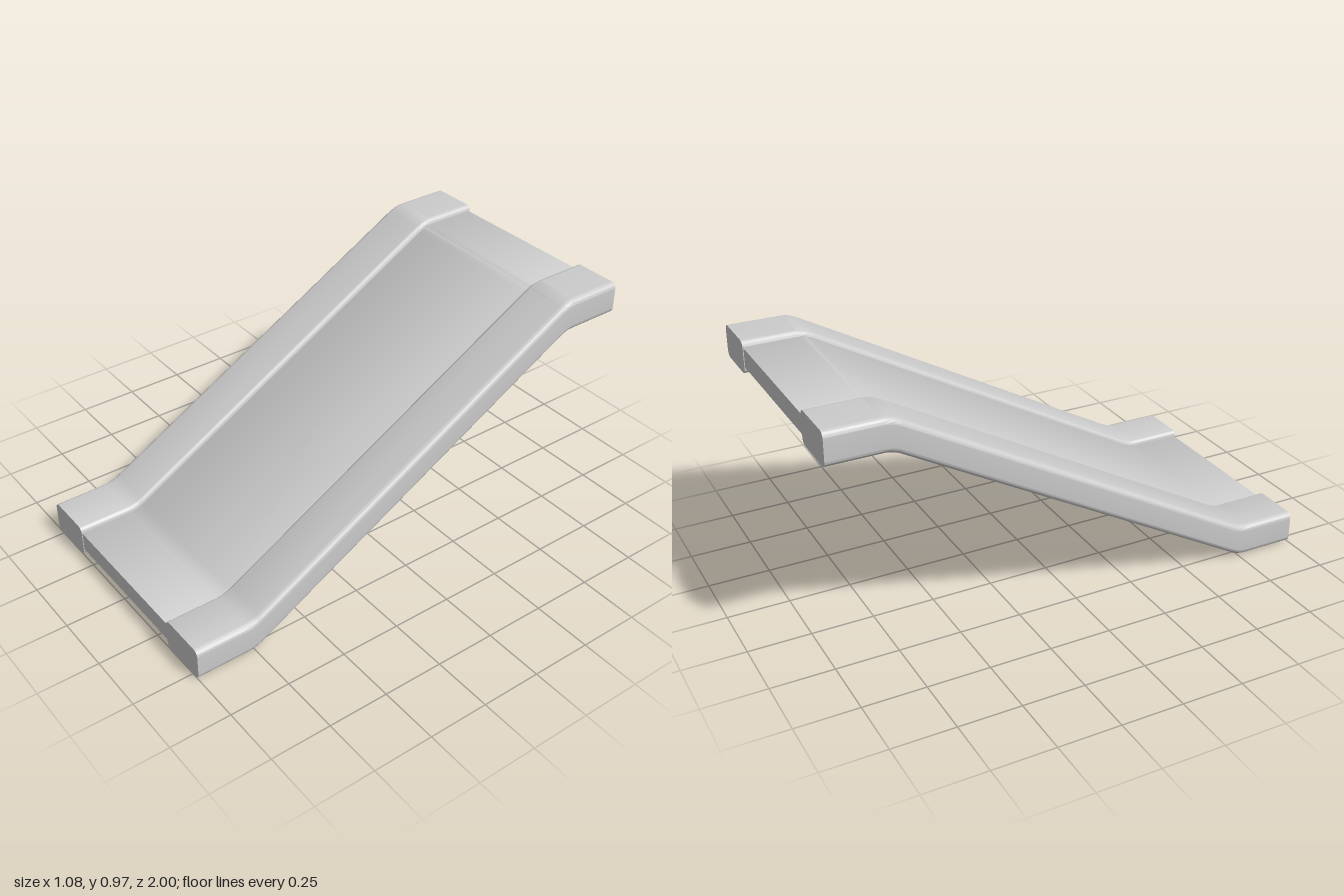
import * as THREE from 'three';
import { toCreasedNormals } from 'three/addons/utils/BufferGeometryUtils.js';

const RISE = 0.835, BEND = 0.75, HALF = 0.035;

// Height of the ramp path at z: flat, soft bend, slope, soft bend, flat
function rise(z) {
  if (z < 0) return RISE - rise(-z);
  const d = BEND - z;
  const slope = RISE / (2 * BEND);
  if (d <= -HALF) return 0;
  if (d >= HALF) return slope * d;
  return slope * (d + HALF) ** 2 / (4 * HALF);
}

// Cross-section positions along the ramp, closely spaced in the bends
function stations(end) {
  const front = [end];
  for (let i = 0; i <= 6; i++) front.push(BEND + HALF - i * HALF / 3);
  return [...front.map(z => -z), ...front.reverse()];
}

function roundedRect(x0, x1, y0, y1, r) {
  const s = new THREE.Shape();
  s.moveTo(x0 + r, y0);
  s.lineTo(x1 - r, y0);
  s.absarc(x1 - r, y0 + r, r, -Math.PI / 2, 0);
  s.lineTo(x1, y1 - r);
  s.absarc(x1 - r, y1 - r, r, 0, Math.PI / 2);
  s.lineTo(x0 + r, y1);
  s.absarc(x0 + r, y1 - r, r, Math.PI / 2, Math.PI);
  s.lineTo(x0, y0 + r);
  s.absarc(x0 + r, y0 + r, r, Math.PI, Math.PI * 1.5);
  return s;
}

// Sweep a cross-section along the ramp path
function sweep(name, shape, end, material) {
  const zs = stations(end);
  const steps = zs.length - 1;
  const geo = new THREE.ExtrudeGeometry(shape, { depth: steps, steps, bevelEnabled: false, curveSegments: 6 });
  const p = geo.attributes.position;
  for (let i = 0; i < p.count; i++) {
    const z = zs[Math.round(p.getZ(i))];
    p.setXYZ(i, p.getX(i), p.getY(i) + rise(z), z);
  }
  const mesh = new THREE.Mesh(toCreasedNormals(geo, 0.6), material);
  mesh.name = name;
  return mesh;
}

export function createModel() {
  const group = new THREE.Group();
  group.name = 'ramp';
  const grey = new THREE.MeshStandardMaterial({ color: 0xcccccc });

  // Side rails
  group.add(sweep('leftRail', roundedRect(0.325, 0.54, 0, 0.135, 0.025), 1, grey));
  group.add(sweep('rightRail', roundedRect(-0.54, -0.325, 0, 0.135, 0.025), 1, grey));

  // Sunken deck between the rails
  group.add(sweep('deck', roundedRect(-0.335, 0.335, 0.03, 0.11, 0.004), 0.997, grey));
  return group;
}
